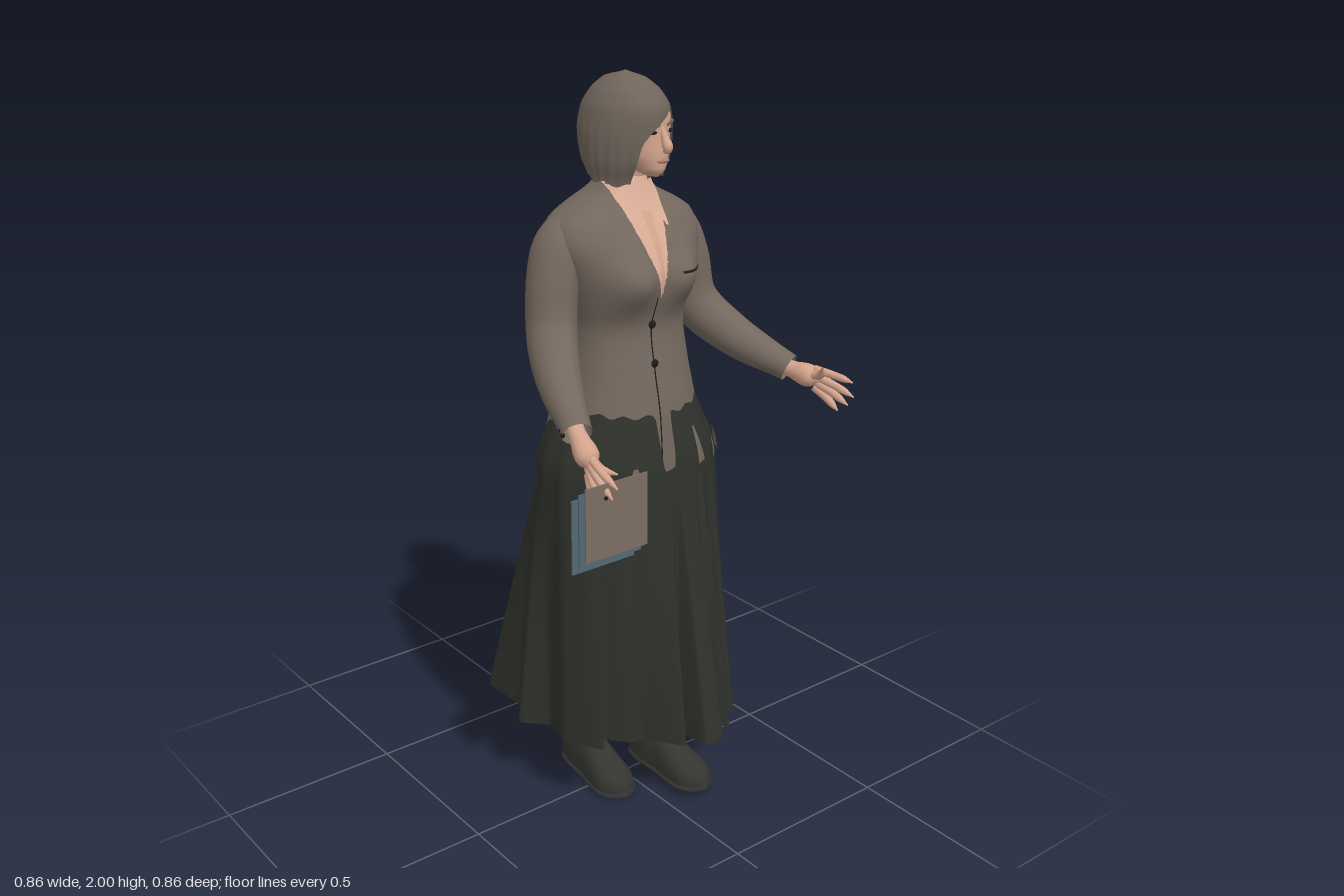
import * as THREE from 'three';
import { mergeVertices } from 'three/addons/utils/BufferGeometryUtils.js';

const { sin, cos, abs, max, min, sqrt, sign, PI, exp, atan2, asin } = Math;
const V = (p) => new THREE.Vector3(...p);
const { lerp, smoothstep, clamp } = THREE.MathUtils;

function paint(name, color) {
  const m = new THREE.MeshStandardMaterial({ color, side: THREE.DoubleSide });
  m.name = name;
  return m;
}

// Surface from a rule f(u, v) -> [x, y, z]; u runs around, v runs up
function grid(nu, nv, f) {
  const pos = [], idx = [];
  for (let j = 0; j <= nv; j++) for (let i = 0; i <= nu; i++) pos.push(...f(i / nu, j / nv));
  for (let j = 0; j < nv; j++) for (let i = 0; i < nu; i++) {
    const a = j * (nu + 1) + i, b = a + nu + 1;
    idx.push(a, a + 1, b + 1, a, b + 1, b);
  }
  let g = new THREE.BufferGeometry();
  g.setAttribute('position', new THREE.Float32BufferAttribute(pos, 3));
  g.setIndex(idx);
  g = mergeVertices(g, 1e-5);
  g.computeVertexNormals();
  return g;
}

// Smooth lookup in rows [key, a, b, ...] sorted by key
function sample(rows, k) {
  const n = rows.length;
  let i = 0;
  while (i < n - 2 && k > rows[i + 1][0]) i++;
  const t = clamp((k - rows[i][0]) / (rows[i + 1][0] - rows[i][0]), 0, 1);
  const r = [max(i - 1, 0), i, i + 1, min(i + 2, n - 1)].map((q) => rows[q]);
  return rows[0].slice(1).map((_, c) => {
    const [p, a, b, q] = r.map((row) => row[c + 1]);
    return a + 0.5 * t * (b - p + t * (2 * p - 5 * a + 4 * b - q + t * (3 * (a - b) + q - p)));
  });
}

// Tube through points whose radius follows evenly spaced values
function taper(points, radii, radial = 14, depth = 1, segs = 24) {
  const curve = new THREE.CatmullRomCurve3(points.map(V));
  const g = new THREE.TubeGeometry(curve, segs, 1, radial, false);
  const rows = radii.map((r, i) => [i / (radii.length - 1), r]);
  const p = g.attributes.position, v = new THREE.Vector3();
  for (let i = 0; i < p.count; i++) {
    const u = Math.floor(i / (radial + 1)) / segs, c = curve.getPointAt(u);
    v.fromBufferAttribute(p, i).sub(c).multiplyScalar(max(0.0005, sample(rows, u)[0]));
    v.z *= depth;
    v.add(c);
    p.setXYZ(i, v.x, v.y, v.z);
  }
  g.computeVertexNormals();
  return g;
}

// Jacket body rows: y, centre x, half width, front z, back z
const TORSO = [
  [0.98, 0.015, 0.215, 0.168, -0.212], [1.08, 0.016, 0.203, 0.162, -0.202], [1.16, 0.016, 0.186, 0.154, -0.187],
  [1.25, 0.018, 0.168, 0.135, -0.17], [1.37, 0.018, 0.158, 0.115, -0.158], [1.45, 0.015, 0.175, 0.132, -0.165],
  [1.52, 0.014, 0.195, 0.138, -0.17], [1.59, 0.014, 0.215, 0.118, -0.165], [1.645, 0.014, 0.2, 0.088, -0.152],
  [1.68, 0.014, 0.145, 0.066, -0.135], [1.705, 0.012, 0.095, 0.054, -0.113], [1.735, 0.012, 0.068, 0.042, -0.085],
];
function torso(s, c, y) {
  const [cx, rx, zf, zb] = sample(TORSO, y);
  let z = (zf + zb) / 2 + ((zf - zb) / 2) * sign(c) * abs(c) ** 0.8;
  if (c > 0) z += 0.042 * c * exp(-(((abs(cx + rx * s - 0.015) - 0.085) / 0.06) ** 2) - ((y - 1.495) / 0.06) ** 2);
  return [cx + rx * s, y, z];
}
// Thin piece lying on the jacket front, between left and right edges given by y
function plate(y0, y1, xl, xr, off, n = 10) {
  return grid(8, n, (u, v) => {
    const y = lerp(y0, y1, v), x = lerp(xl(y), xr(y), u), [cx, rx] = sample(TORSO, y);
    const s = clamp((x - cx) / rx, -1, 1);
    return [x, y, torso(s, sqrt(1 - s * s), y)[2] + off];
  });
}

// Hem outline (x, z): pleat corners and the folds between, from the front towards +x
const HEM = [[0.04, 0.32], [0.1, 0.32], [0.11, 0.25], [0.15, 0.29], [0.16, 0.2], [0.21, 0.24], [0.28, 0.12], [0.26, 0.06],
  [0.33, 0.02], [0.26, -0.04], [0.33, -0.09], [0.24, -0.13], [0.21, -0.19], [0.15, -0.2], [0.12, -0.29], [0.07, -0.24],
  [0.03, -0.39], [-0.005, -0.26], [-0.08, -0.43], [-0.11, -0.3], [-0.15, -0.37], [-0.17, -0.26], [-0.235, -0.335],
  [-0.235, -0.18], [-0.29, -0.1], [-0.235, -0.03], [-0.25, 0.06], [-0.2, 0.17], [-0.17, 0.13], [-0.11, 0.19],
  [-0.08, 0.19], [-0.01, 0.29], [0.02, 0.23]];
const hemCurve = new THREE.CatmullRomCurve3(HEM.map(([x, z]) => V([x, 0, z])), true, 'catmullrom', 0.3);
// Gathered upper skirt at angle a (0 is the front)
function hips(a, y, grow = 0) {
  const top = smoothstep(y, 0.99, 1.2), s = sin(a), c = cos(a), fold = 1 + 0.01 * cos(a * 18) * (1 - top);
  const rx = lerp(0.25, 0.18, top) * fold + grow;
  const rz = (c > 0 ? lerp(0.19, 0.15, top) : lerp(0.212, 0.165, top)) * fold + grow;
  return [0.016 + rx * s, y, rz * sign(c) * abs(c) ** 0.9];
}
function skirt(u, v) {
  const h = hemCurve.getPoint(u % 1), a = atan2(h.x - 0.015, h.z), c = cos(a);
  const top = 1.172 - 0.14 * smoothstep(-c, 0.25, 0.9) - 0.02 * max(0, c)
    - 0.14 * (1 - smoothstep(abs(a + 0.03), 0.06, 0.14)) + 0.005 * sin(a * 17);
  const y = lerp(0.235 - 0.015 * smoothstep(-c, -0.5, 1), top, v), t = clamp((1 - y) / 0.77, 0, 1), p = hips(a, y);
  return [lerp(p[0], h.x, t), y, lerp(p[2], h.z, t)];
}

// Bob rows: y, half width, front z, back z
const HAIR = [[1.735, 0.098, 0.085, -0.09], [1.79, 0.108, 0.112, -0.122], [1.86, 0.109, 0.125, -0.138],
  [1.92, 0.097, 0.123, -0.128], [1.96, 0.073, 0.095, -0.1], [1.985, 0.043, 0.055, -0.064], [2.0, 0.002, 0, -0.004]];
// Face opening rows under the swept fringe: y, right edge x, left edge x
const OPENING = [[1.735, -0.035, 0.084], [1.8, -0.034, 0.09], [1.845, -0.024, 0.09], [1.88, 0.012, 0.086], [1.925, 0.072, 0.073]];
const FACE = [[1.752, 0.012, 0.1, 0.05], [1.765, 0.035, 0.113, 0], [1.8, 0.056, 0.117, -0.04], [1.85, 0.069, 0.114, -0.07],
  [1.9, 0.073, 0.112, -0.08], [1.94, 0.055, 0.09, -0.07], [1.965, 0.02, 0.05, -0.03]];
// Shoe rows: z, half width, height
const SHOE = [[-0.15, 0.006, 0.07], [-0.14, 0.032, 0.11], [-0.08, 0.045, 0.145], [-0.02, 0.047, 0.135], [0.04, 0.054, 0.1],
  [0.09, 0.056, 0.077], [0.125, 0.043, 0.062], [0.145, 0.02, 0.048], [0.15, 0.002, 0.03]];

export function createModel() {
  const root = new THREE.Group();
  const wool = paint('jacket wool', 0x74685e), hairM = paint('hair', 0x70655b), cloth = paint('skirt cloth', 0x2f312b);
  const skin = paint('skin', 0xd3a48d), shirt = paint('shirt', 0xd9ad97), leather = paint('shoe leather', 0x343530);
  const dark = paint('dark detail', 0x1d1c1b), lip = paint('lips', 0xb07a6a);
  const blue = paint('blue cover', 0x536874), brown = paint('brown cover', 0x7b6d63);
  const add = (name, geo, mat, p = [0, 0, 0], parent = root) => {
    const m = new THREE.Mesh(geo, mat);
    m.name = name;
    m.position.set(...p);
    parent.add(m);
    return m;
  };
  const ball = (name, mat, p, s) => add(name, new THREE.SphereGeometry(1, 16, 10), mat, p).scale.set(...s);

  // Jacket
  add('jacketBody', grid(64, 50, (u, v) => torso(sin(u * 2 * PI), cos(u * 2 * PI), lerp(0.98, 1.735, v))), wool);
  const vee = (y) => 0.064 * clamp((y - 1.46) / 0.24, 0, 1);
  add('shirtFront', plate(1.46, 1.735, (y) => 0.005 - vee(y), (y) => 0.008 + vee(y), 0.006, 16), shirt);
  add('tie', plate(1.47, 1.67, (y) => 0.006 - 0.25 * vee(y), (y) => 0.008 + 0.25 * vee(y), 0.011), skin);
  for (const s of [-1, 1]) {
    const edge = (w) => (y) => 0.006 + s * (vee(y) + w(y));
    const notch = (y) => 0.045 * smoothstep(y, 1.46, 1.62) * (1 - 0.5 * smoothstep(y, 1.63, 1.65));
    const a = edge(() => 0), b = edge(notch);
    add('lapel', s > 0 ? plate(1.46, 1.69, a, b, 0.006, 20) : plate(1.46, 1.69, b, a, 0.006, 20), wool);
    const c = (y) => 0.01 + s * lerp(0.045, 0.012, (y - 1.63) / 0.08), d = () => 0.01 + s * 0.052;
    add('shirtCollarPoint', s > 0 ? plate(1.63, 1.71, c, d, 0.013) : plate(1.63, 1.71, d, c, 0.013), shirt);
  }
  add('frontSeam', plate(1.0, 1.46, () => -0.003, () => 0.001, 0.003, 24), dark);
  add('pocketWelt', plate(1.515, 1.521, () => 0.065, () => 0.165, 0.004, 2), dark);
  for (const y of [1.385, 1.285]) ball('frontButton', dark, [0, y, torso(0, 1, y)[2] + 0.004], [0.011, 0.011, 0.005]);
  add('shirtCollar', new THREE.CylinderGeometry(0.054, 0.07, 0.04, 28, 1, true), shirt, [0.012, 1.728, -0.012]);
  add('jacketCollar', new THREE.CylinderGeometry(0.064, 0.085, 0.05, 28, 1, true, PI * 0.4, PI * 1.2), wool, [0.012, 1.722, -0.022]);

  // Arms and hands
  const arms = [
    { side: 'left', path: [[0.08, 1.625, -0.045], [0.175, 1.6, -0.042], [0.226, 1.5, -0.03], [0.25, 1.38, -0.012], [0.305, 1.295, 0.08], [0.372, 1.225, 0.238]],
      knuckle: [0.393, 1.212, 0.325], thumb: [0.36, 1.262, 0.372],
      tips: [[0.415, 1.225, 0.428], [0.42, 1.185, 0.43], [0.415, 1.16, 0.415], [0.41, 1.138, 0.385]] },
    { side: 'right', path: [[-0.055, 1.625, -0.045], [-0.15, 1.6, -0.042], [-0.197, 1.5, -0.03], [-0.222, 1.38, -0.005], [-0.265, 1.29, 0.08], [-0.322, 1.2, 0.235]],
      knuckle: [-0.332, 1.142, 0.305], thumb: [-0.282, 1.12, 0.342],
      tips: [[-0.318, 1.105, 0.388], [-0.335, 1.085, 0.39], [-0.345, 1.065, 0.365], [-0.34, 1.05, 0.335]] },
  ];
  for (const { side, path, knuckle, thumb, tips } of arms) {
    const wrist = path[5], mix = (a, b, t) => a.map((q, i) => lerp(q, b[i], t));
    add(side + 'Sleeve', taper(path, [0.045, 0.066, 0.063, 0.061, 0.051, 0.037], 24, 1.12, 40), wool);
    add(side + 'Palm', taper([mix(path[4], wrist, 0.85), wrist, mix(wrist, knuckle, 0.6), mix(wrist, knuckle, 1.08)], [0.022, 0.022, 0.025, 0.03, 0.028, 0.008]), skin);
    tips.forEach((tip, i) => {
      const base = [knuckle[0], knuckle[1] + 0.024 - i * 0.016, knuckle[2] - 0.012];
      const mid = mix(base, tip, 0.5);
      mid[0] += sign(tip[0]) * 0.004;
      add(side + 'Finger', taper([base, mid, tip], [0.012, 0.0115, 0.0105, 0.0095, 0.002], 8, 1, 12), skin);
    });
    add(side + 'Thumb', taper([mix(wrist, knuckle, 0.35), mix(knuckle, thumb, 0.35), thumb], [0.018, 0.015, 0.012, 0.01, 0.002], 8, 1, 12), skin);
    for (let i = 0; i < 3; i++) {
      const p = mix(path[4], wrist, 0.72 + i * 0.09);
      ball('cuffButton', dark, [p[0] + sign(p[0]) * 0.037, p[1] - 0.01, p[2]], [0.006, 0.006, 0.006]);
    }
  }

  // Skirt, with torn patches near the waist
  add('skirt', grid(330, 28, skirt), cloth);
  for (const [a, y0, y1, w] of [[0.43, 1.0, 1.1, 0.07], [0.8, 0.99, 1.04, 0.08], [-0.45, 0.985, 1.03, 0.08], [1.1, 0.99, 1.05, 0.12], [1.5, 0.98, 1.03, 0.12]]) {
    add('waistPatch', grid(6, 6, (u, v) => hips(a + (u - 0.4 - 0.2 * v) * w * 2 * (1.1 - 0.8 * v), lerp(y0, y1, v), 0.006)), wool);
  }

  // Legs and shoes
  for (const [side, x, y, z, turn] of [['left', 0.093, 0.02, 0.1, 0.06], ['right', -0.07, 0, -0.03, -0.06]]) {
    add(side + 'Stocking', taper([[x * 0.9, 0.9, z - 0.05], [x * 0.92, 0.62, z - 0.065], [x * 0.95, 0.35, z - 0.085], [x, 0.1, z - 0.07]],
      [0.075, 0.062, 0.05, 0.034], 18), cloth);
    const foot = new THREE.Group();
    foot.name = side + 'Shoe';
    foot.position.set(x, y, z);
    foot.rotation.y = turn;
    root.add(foot);
    const loft = (grow, base, height) => grid(28, 36, (u, v) => {
      const k = lerp(-0.15, 0.15, v), [w, h] = sample(SHOE, k), a = u * 2 * PI;
      return [(max(w, 0.002) + grow) * cos(a), base + max(0, sin(a)) ** 0.7 * (height || h - base), k * (1 + grow)];
    });
    add('shoeUpper', loft(0, 0.015), leather, [0, 0, 0], foot);
    add('shoeSole', loft(0.005, 0.008, 0.016), leather, [0, 0, 0], foot);
    add('shoeHeel', new THREE.CylinderGeometry(0.044, 0.042, 0.022, 24), leather, [0, 0.011, -0.095], foot);
  }

  // Head
  add('neck', taper([[0.012, 1.65, -0.02], [0.014, 1.73, -0.01], [0.022, 1.82, 0.01]], [0.056, 0.049, 0.05], 20), skin);
  add('face', grid(40, 30, (u, v) => {
    const y = lerp(1.752, 1.965, v), [rx, zf, zb] = sample(FACE, y), a = u * 2 * PI;
    return [0.03 + rx * sin(a), y, (zf + zb) / 2 + ((zf - zb) / 2) * cos(a)];
  }), skin);
  add('nose', taper([[0.034, 1.875, 0.108], [0.036, 1.845, 0.121], [0.037, 1.823, 0.13], [0.037, 1.815, 0.112]], [0.006, 0.009, 0.013, 0.004], 10), skin);
  ball('mouth', lip, [0.036, 1.792, 0.113], [0.02, 0.006, 0.008]);
  for (const [x, z, tilt] of [[0.064, 0.1, 0.2], [0.008, 0.107, -0.2]]) {
    ball('eye', dark, [x, 1.862, z], [0.013, 0.005, 0.008]);
    const brow = add('eyebrow', new THREE.BoxGeometry(0.034, 0.006, 0.008), hairM, [x, 1.881, z + 0.002]);
    brow.rotation.set(0, x > 0.03 ? 0.4 : -0.2, tilt);
  }
  add('hair', grid(132, 48, (u, v) => {
    const y0 = lerp(1.735, 2.0, v), [rx, zf, zb] = sample(HAIR, y0), [xl, xr] = sample(OPENING, min(y0, 1.925));
    const ang = (x) => asin(clamp((x - 0.01) / max(rx, 0.01), -1, 1));
    const from = ang(xr), to = y0 > 1.925 ? from + 2 * PI : ang(xl) + 2 * PI, a = lerp(from, to, u);
    const strand = 1 + 0.009 * cos(a * 24) * (1 - v * 0.5);
    const y = y0 + (1 - v) ** 4 * (0.008 - 0.012 * cos(a) + 0.005 * sin(a * 9));
    return [0.01 + rx * strand * sin(a), y, (zf + zb) / 2 + ((zf - zb) / 2) * strand * cos(a)];
  }), hairM);

  // Flat books held in the right hand
  for (const [name, mat, x, y, z] of [['frontBook', brown, -0.307, 1.025, 0.369], ['middleBook', blue, -0.322, 1.013, 0.363], ['backBook', blue, -0.338, 1.0, 0.357]]) {
    add(name, new THREE.BoxGeometry(0.185, 0.19, 0.004), mat, [x, y, z]);
  }
  ball('bookClasp', dark, [-0.34, 1.085, 0.372], [0.006, 0.006, 0.002]);
  return root;
}
